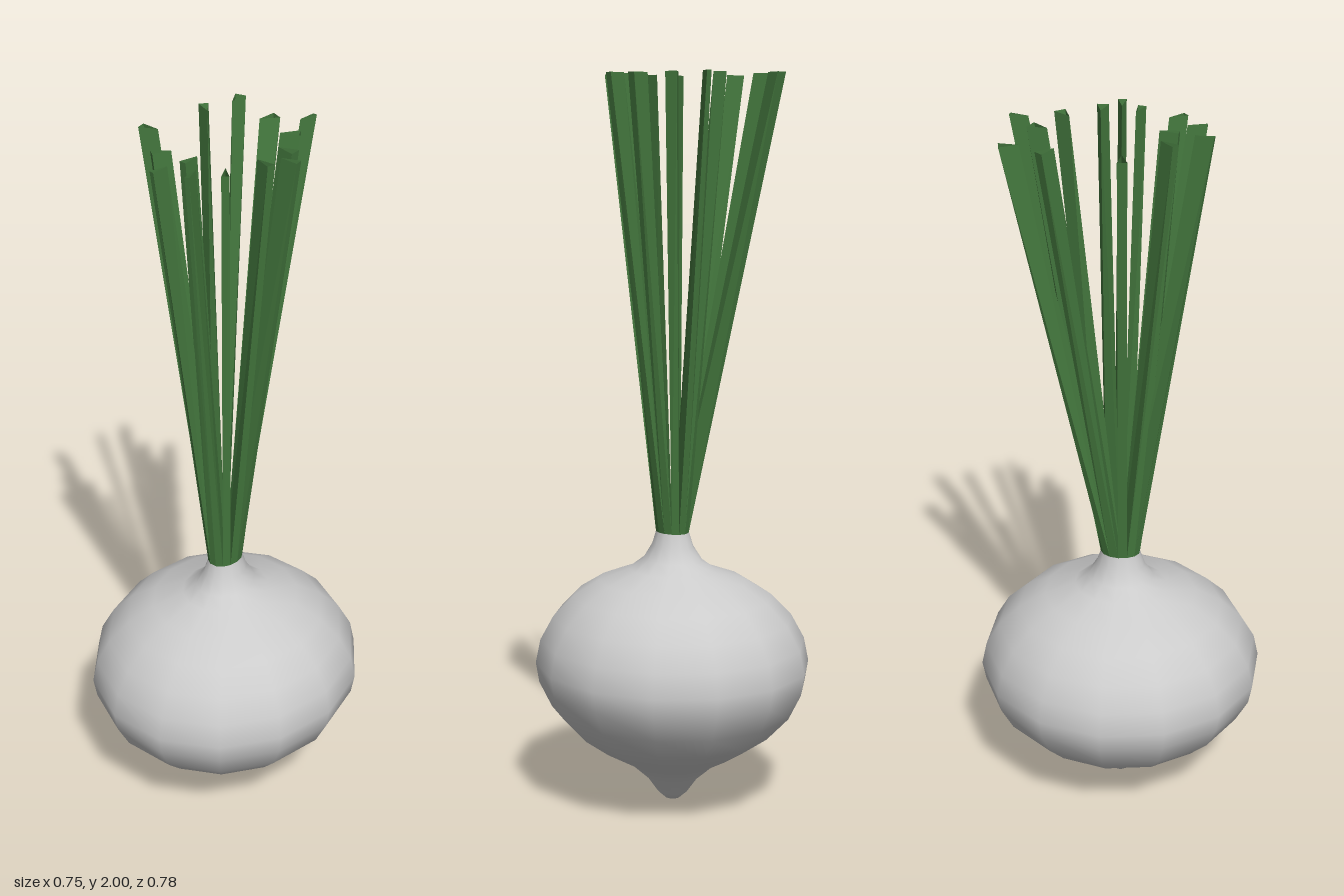
import * as THREE from 'three';

const SIDES = 14;
const NECK_Y = 0.765;

// Bulb: 14-sided lathe, a little deeper than wide, with a more oval neck
function makeBulb() {
  const profile = [
    [0, 0.004], [0.02, 0.01], [0.042, 0.03], [0.07, 0.07], [0.12, 0.115], [0.2, 0.16],
    [0.27, 0.21], [0.33, 0.275], [0.364, 0.345], [0.373, 0.4], [0.36, 0.465], [0.325, 0.53],
    [0.27, 0.588], [0.2, 0.632], [0.115, 0.663], [0.078, 0.69], [0.054, 0.728], [0.042, 0.768],
  ].map(([r, y]) => new THREE.Vector2(r, y));
  const geo = new THREE.LatheGeometry(profile, SIDES);
  geo.rotateY(Math.PI / 2);
  const pos = geo.attributes.position;
  for (let i = 0; i < pos.count; i++) {
    const neck = THREE.MathUtils.smoothstep(pos.getY(i), 0.62, NECK_Y);
    pos.setZ(i, pos.getZ(i) * (1.067 + 0.24 * neck));
  }
  const mesh = new THREE.Mesh(geo, new THREE.MeshStandardMaterial({ color: 0xcccccc, side: THREE.DoubleSide }));
  mesh.name = 'bulb';
  return mesh;
}

// Stalk: hollow three-sided prism rising from one slice of the neck to a level cut at y = 2
function makeStalk(index, [x, z, width, twist], material) {
  const rim = (k) => {
    const a = (k / SIDES) * Math.PI * 2;
    return new THREE.Vector3(0.042 * Math.cos(a), NECK_Y, -0.055 * Math.sin(a));
  };
  const base = [new THREE.Vector3(0, NECK_Y, 0), rim(index), rim(index + 1)];

  const tip = new THREE.Vector3(x, 2, z);
  const out = new THREE.Vector3(x, 0, z).normalize();
  const across = new THREE.Vector3(out.z, 0, -out.x);
  const top = [
    tip.clone().addScaledVector(out, -0.05),
    tip.clone().addScaledVector(across, -width / 2),
    tip.clone().addScaledVector(across, width / 2),
  ];
  const centre = tip.clone().addScaledVector(out, -0.017);
  const up = new THREE.Vector3(0, 1, 0);
  top.forEach((p) => p.sub(centre).applyAxisAngle(up, twist).add(centre));

  const points = [];
  for (let i = 0; i < 3; i++) {
    const j = (i + 1) % 3;
    points.push(base[i], base[j], top[j], base[i], top[j], top[i]);
  }
  const geo = new THREE.BufferGeometry().setFromPoints(points);
  geo.computeVertexNormals();
  const mesh = new THREE.Mesh(geo, material);
  mesh.name = 'stalk' + (index + 1);
  return mesh;
}

export function createModel() {
  const model = new THREE.Group();
  model.name = 'onion';
  model.add(makeBulb());

  // Tip x, tip z, width and twist of each stalk, counter-clockwise from +x
  const tips = [
    [0.205, -0.027, 0.022, 0], [0.16, -0.077, 0.03, -0.4], [0.095, -0.175, 0.032, -0.4],
    [0.057, -0.29, 0.012, 0], [-0.022, -0.225, 0.034, -0.5], [-0.175, -0.27, 0.03, -0.35],
    [-0.207, -0.167, 0.026, 0], [-0.238, 0.041, 0.025, 0], [-0.108, 0.152, 0.022, 0],
    [-0.033, 0.238, 0.013, 0], [-0.012, 0.148, 0.02, 0], [0.053, 0.21, 0.012, 0],
    [0.12, 0.148, 0.02, 0], [0.165, 0.03, 0.022, 0],
  ];
  const green = new THREE.MeshStandardMaterial({ color: 0x457a3f, side: THREE.DoubleSide });
  const stalks = new THREE.Group();
  stalks.name = 'stalks';
  tips.forEach((tip, i) => stalks.add(makeStalk(i, tip, green)));
  model.add(stalks);
  return model;
}
